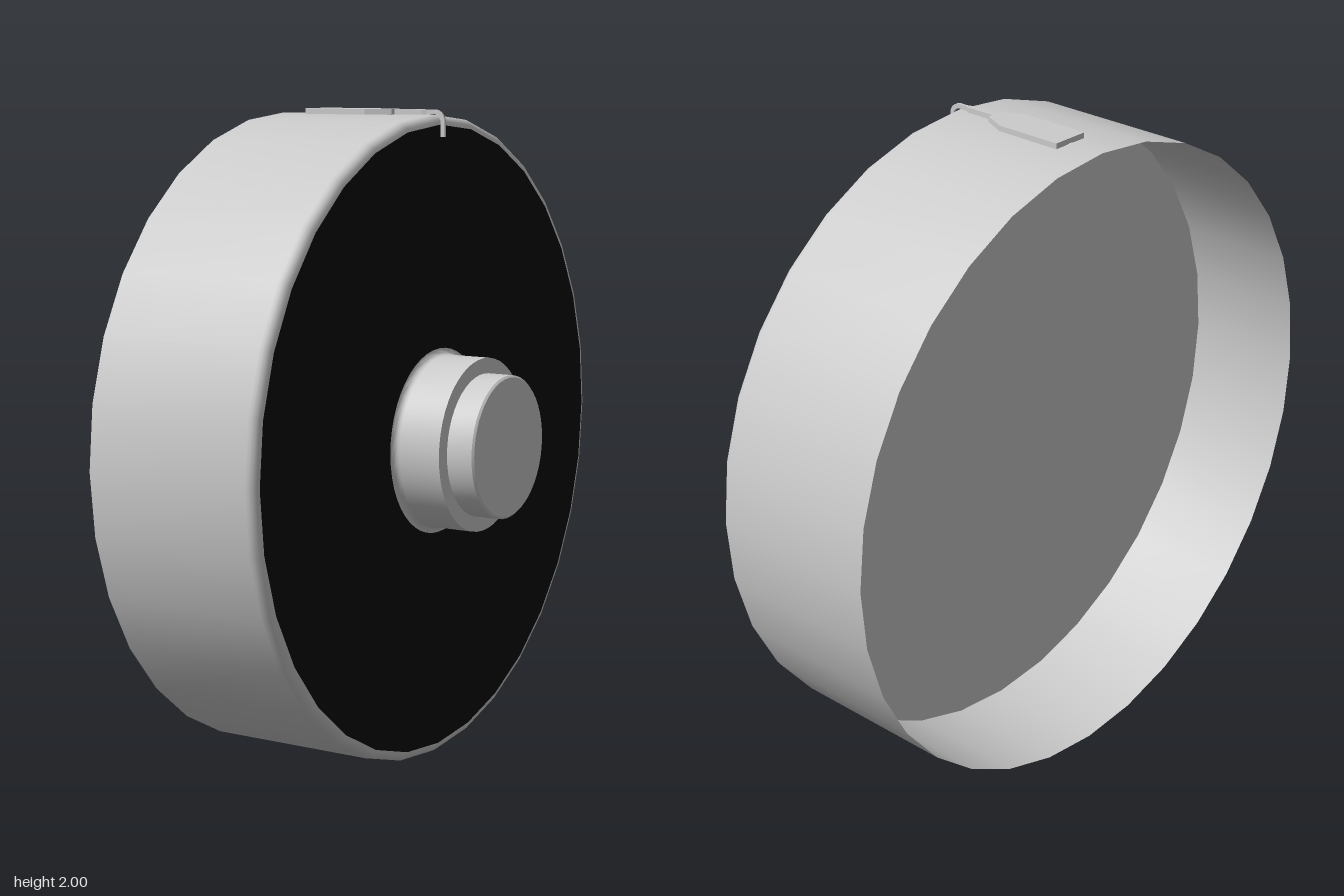
import * as THREE from 'three';
import { toCreasedNormals } from 'three/addons/utils/BufferGeometryUtils.js';

const CY = 0.995; // height of the drum axis
const R = 0.99;   // drum radius
const SIDES = 32;

export function createModel() {
  const group = new THREE.Group();
  const grey = new THREE.MeshStandardMaterial({ color: 0xcccccc });
  const greyBoth = new THREE.MeshStandardMaterial({ color: 0xcccccc, side: THREE.DoubleSide });
  const black = new THREE.MeshStandardMaterial({ color: 0x080808, side: THREE.DoubleSide });

  const add = (name, geometry, material) => {
    const mesh = new THREE.Mesh(geometry, material);
    mesh.name = name;
    group.add(mesh);
    return mesh;
  };

  // Surface of revolution about the x axis; profile points are [radius, x]
  const turned = (name, profile, sides, material) => {
    const points = profile.map(([r, x]) => new THREE.Vector2(r, x));
    const geometry = toCreasedNormals(new THREE.LatheGeometry(points, sides), 0.5);
    geometry.rotateZ(-Math.PI / 2).translate(0, CY, 0);
    return add(name, geometry, material);
  };

  // Disc facing +x
  const disc = (name, radius, x, material) => {
    const geometry = new THREE.CircleGeometry(radius, SIDES);
    geometry.rotateY(Math.PI / 2).translate(x, CY, 0);
    return add(name, geometry, material);
  };

  // Quarter-round profile points about (r, x), from angle a to angle b
  const arc = (r, x, radius, a, b, n) => Array.from({ length: n + 1 }, (_, i) => {
    const t = a + (b - a) * i / n;
    return [r + radius * Math.cos(t), x + radius * Math.sin(t)];
  });

  // Drum: thin shell, open at -x, with a rounded rim at +x
  turned('drumShell', [[R, -0.405], ...arc(R - 0.03, 0.13, 0.03, 0, Math.PI / 2, 4)], SIDES, greyBoth);
  disc('frontFace', R - 0.03, 0.16, black);
  disc('innerPlate', R, -0.025, greyBoth);

  // Hub: flared foot, wide collar and a narrower cap
  turned('hubCollar', [
    ...arc(0.285, 0.18, 0.02, -Math.PI / 2, -Math.PI, 4),
    [0.265, 0.315], [0.218, 0.315],
  ], 48, greyBoth);
  turned('hubCap', [[0.218, 0.31], [0.218, 0.398], [0.212, 0.404], [0, 0.404]], 48, grey);

  // Flat tag lying on top of the drum, mirrored across z = 0
  const half = [[-0.285, 0.06], [-0.07, 0.06], [0.005, 0.025], [0.005, 0.009], [0.1, 0.009], [0.115, 0.004]];
  const outline = [...half, ...half.map(([x, z]) => [x, -z]).reverse()];
  const tag = new THREE.ExtrudeGeometry(
    new THREE.Shape(outline.map(([x, z]) => new THREE.Vector2(x, z))),
    { depth: 0.017, bevelEnabled: false });
  tag.rotateX(-Math.PI / 2).translate(0, 1.983, 0);
  add('tag', tag, grey);

  // Thin hook that runs from the tag and bends down over the rim
  const side = new THREE.Shape();
  side.moveTo(0.11, 1.985);
  side.lineTo(0.11, 2.0);
  side.lineTo(0.14, 2.0);
  side.absarc(0.14, 1.962, 0.038, Math.PI / 2, 0, true);
  side.lineTo(0.178, 1.918);
  side.lineTo(0.164, 1.918);
  side.lineTo(0.164, 1.962);
  side.absarc(0.14, 1.962, 0.024, 0, Math.PI / 2, false);
  const hook = new THREE.ExtrudeGeometry(side, { depth: 0.008, bevelEnabled: false, curveSegments: 8 });
  hook.translate(0, 0, -0.004);
  add('tagHook', toCreasedNormals(hook, 0.5), grey);

  return group;
}
